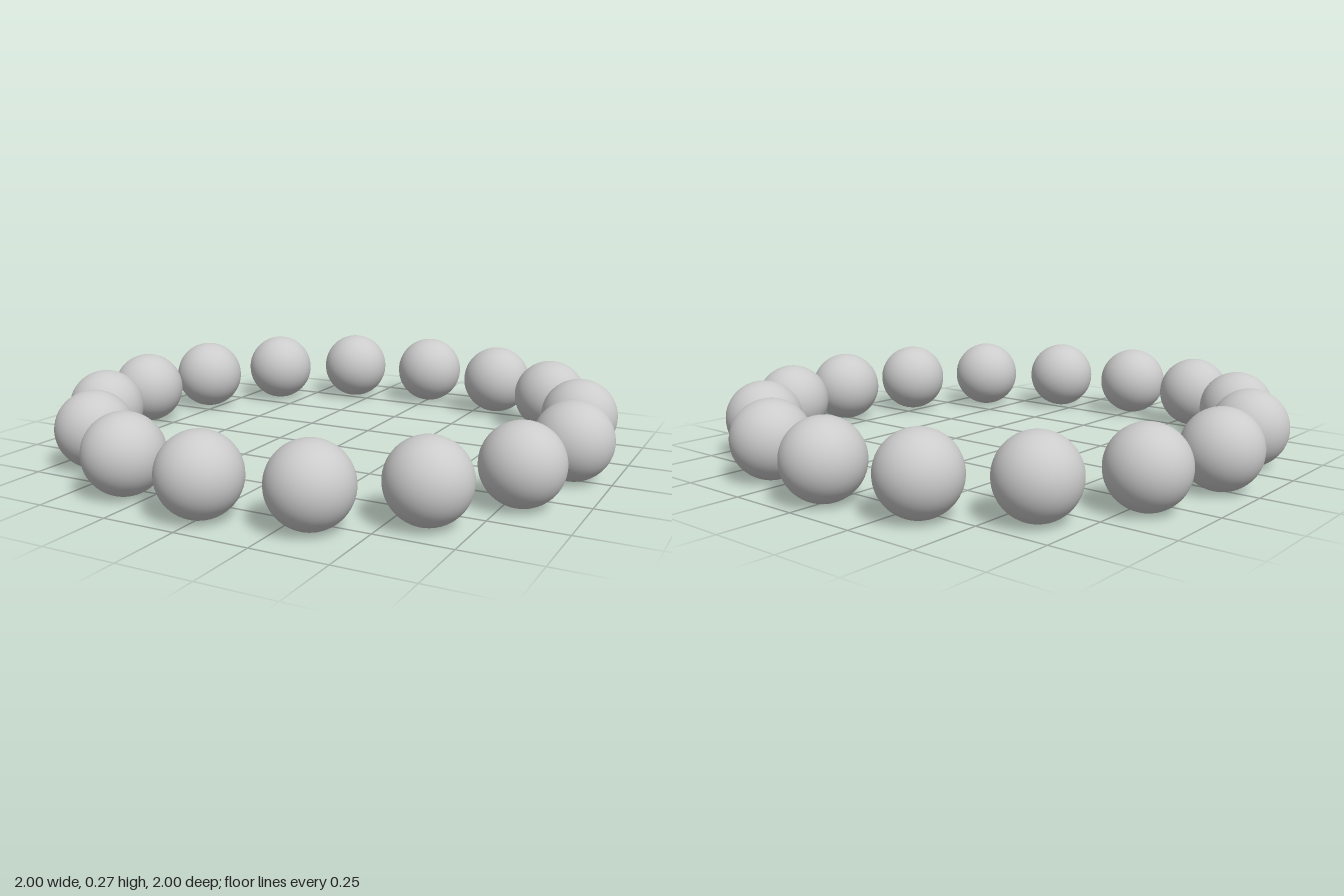
import * as THREE from 'three';

const COUNT = 16;
const BEAD_RADIUS = 0.134;
const RING_RADIUS = 1 - BEAD_RADIUS;

export function createModel() {
  const model = new THREE.Group();
  model.name = 'beadRing';

  const material = new THREE.MeshStandardMaterial({ color: 0xcccccc });
  const beadGeometry = new THREE.SphereGeometry(BEAD_RADIUS, 48, 32);

  // Equal beads spaced evenly around a circle, resting on the ground
  for (let i = 0; i < COUNT; i++) {
    const angle = (i / COUNT) * Math.PI * 2;
    const bead = new THREE.Mesh(beadGeometry, material);
    bead.name = `bead${i + 1}`;
    bead.position.set(Math.cos(angle) * RING_RADIUS, BEAD_RADIUS, Math.sin(angle) * RING_RADIUS);
    bead.rotation.y = -angle;
    model.add(bead);
  }

  return model;
}
